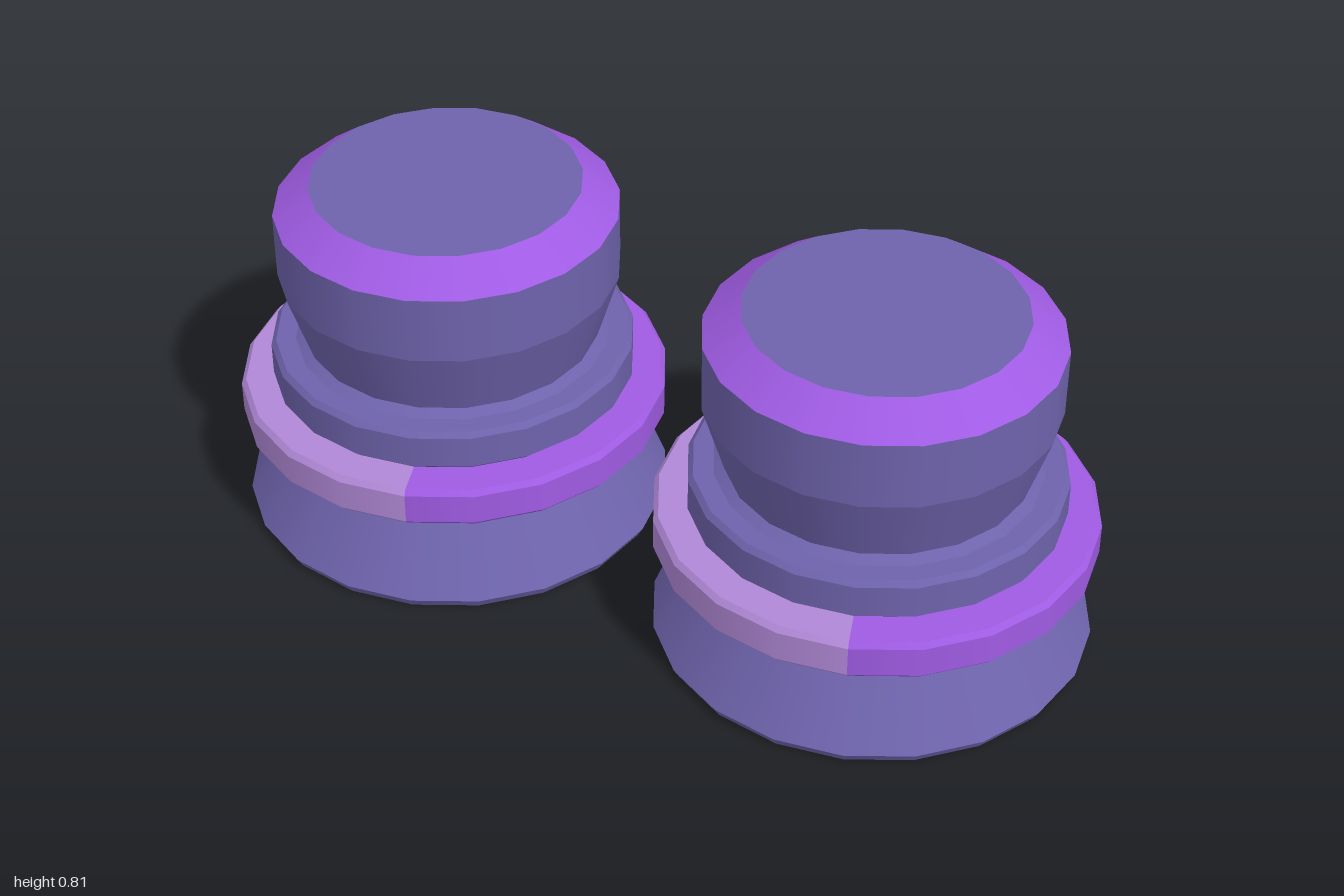
import * as THREE from 'three';
import { mergeGeometries } from 'three/addons/utils/BufferGeometryUtils.js';

const SIDES = 20;
const STEP = (Math.PI * 2) / SIDES;

// Revolves a profile one band at a time: round sideways, crisp at each profile corner
function revolve(profile, startSide = 0, sides = SIDES) {
  const bands = [];
  for (let i = 0; i < profile.length - 1; i++) {
    const pair = [profile[i], profile[i + 1]].map(([r, y]) => new THREE.Vector2(r, y));
    bands.push(new THREE.LatheGeometry(pair, sides, startSide * STEP, sides * STEP));
  }
  return mergeGeometries(bands);
}

export function createModel() {
  const slate = new THREE.MeshStandardMaterial({ color: 0x6e63ac });
  slate.name = 'slateViolet';
  const purple = new THREE.MeshStandardMaterial({ color: 0x9f5be3 });
  purple.name = 'brightPurple';
  const mauve = new THREE.MeshStandardMaterial({ color: 0xb088d6 });
  mauve.name = 'paleMauve';

  const ringProfile = [
    [0.34, 0.234], [0.468, 0.234], [0.4785, 0.245],
    [0.4785, 0.314], [0.468, 0.326], [0.38, 0.326],
  ];

  // Profiles run from the hollow underside, round the rim, up to the cap
  const parts = [
    ['innerDome', mauve, revolve([[0, 0.25], [0.16, 0.23], [0.28, 0.18]])],
    ['innerFunnel', purple, revolve([[0.28, 0.18], [0.425, 0], [0.466, 0]])],
    ['flaredBase', slate, revolve([[0.466, 0], [0.4785, 0.022], [0.347, 0.236]])],
    // Ring is split in two colours, bright on the left side
    ['ringBright', purple, revolve(ringProfile, 1, 8)],
    ['ringPale', mauve, revolve(ringProfile, 9, 12)],
    ['collar', slate, revolve([
      [0.388, 0.325], [0.405, 0.34], [0.405, 0.414], [0.394, 0.426], [0.35, 0.426], [0.328, 0.44],
    ])],
    ['head', slate, revolve([[0.328, 0.44], [0.378, 0.6], [0.378, 0.753]])],
    ['bevel', purple, revolve([[0.378, 0.753], [0.298, 0.813]])],
    ['cap', slate, revolve([[0.298, 0.813], [0, 0.813]])],
  ];

  const model = new THREE.Group();
  model.name = 'pairOfThrusters';
  for (const [name, x] of [['rightThruster', -0.5215], ['leftThruster', 0.5215]]) {
    const unit = new THREE.Group();
    unit.name = name;
    unit.position.x = x;
    for (const [partName, material, geometry] of parts) {
      const mesh = new THREE.Mesh(geometry, material);
      mesh.name = partName;
      unit.add(mesh);
    }
    model.add(unit);
  }
  return model;
}
